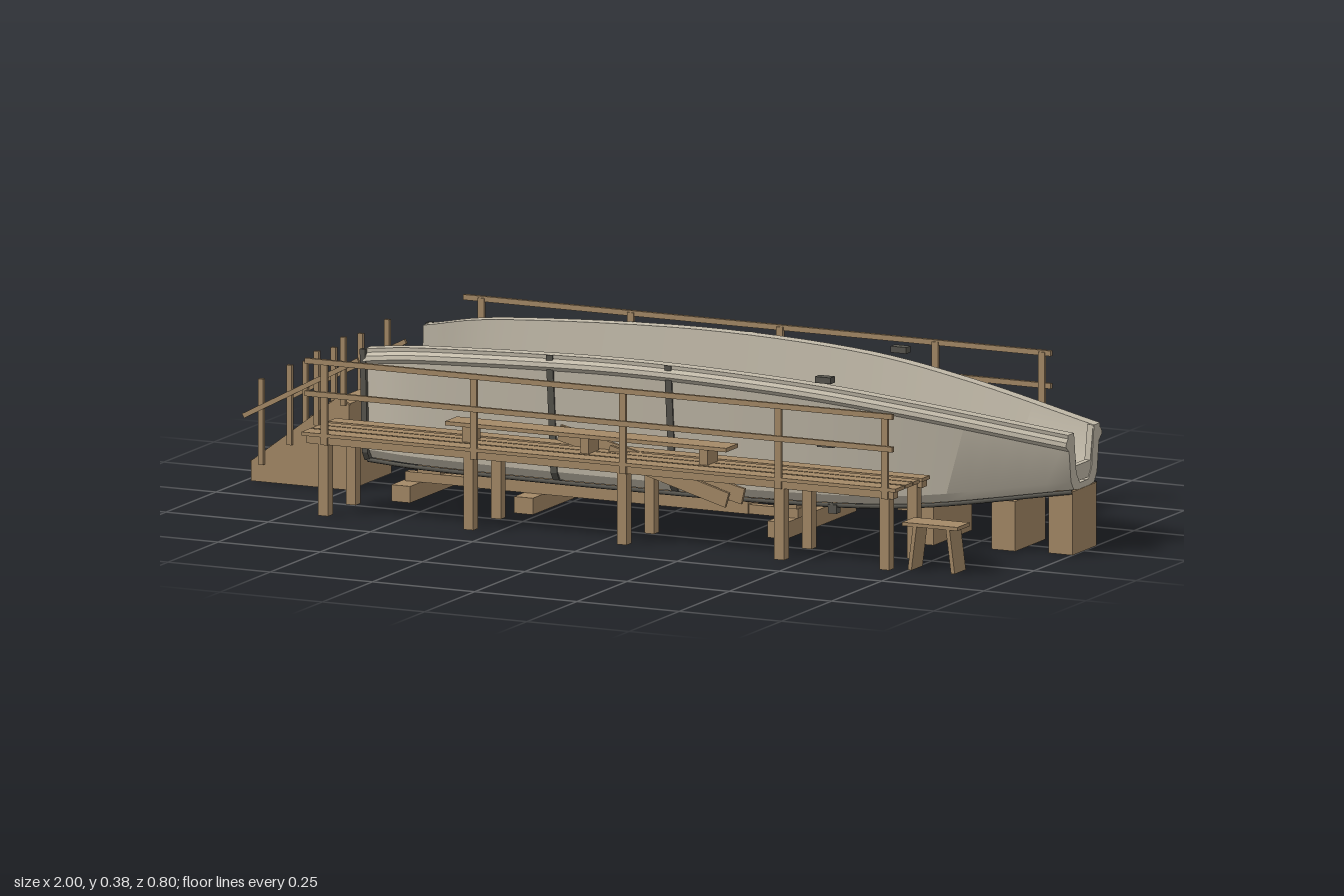
import * as THREE from 'three';
import { toCreasedNormals } from 'three/addons/utils/BufferGeometryUtils.js';

const mat = (color) => new THREE.MeshStandardMaterial({ color, side: THREE.DoubleSide });

export function createModel() {
  const root = new THREE.Group();
  const wood = mat(0xa58a67), shell = mat(0xc4bcab), pale = mat(0xd6d3c9), dark = mat(0x58564f);

  const add = (parent, name, geo, m) => {
    const mesh = new THREE.Mesh(geo, m);
    mesh.name = name;
    parent.add(mesh);
    return mesh;
  };
  const group = (name, parent = root) => {
    const g = new THREE.Group();
    g.name = name;
    parent.add(g);
    return g;
  };
  // box given by its limits on each axis
  const box = (parent, name, x0, x1, y0, y1, z0, z1, m = wood) => {
    const b = add(parent, name, new THREE.BoxGeometry(x1 - x0, y1 - y0, z1 - z0), m);
    b.position.set((x0 + x1) / 2, (y0 + y1) / 2, (z0 + z1) / 2);
    return b;
  };
  // bar between two points of the xy plane
  const bar = (parent, name, x0, y0, x1, y1, z, h, d, m = wood) => {
    const b = add(parent, name, new THREE.BoxGeometry(Math.hypot(x1 - x0, y1 - y0), h, d), m);
    b.position.set((x0 + x1) / 2, (y0 + y1) / 2, z);
    b.rotation.z = Math.atan2(y1 - y0, x1 - x0);
    return b;
  };
  // closed cross-sections joined along x, ends closed by pairing points across the ring
  const loft = (rings) => {
    const p = [], n = rings[0].length;
    const quad = (a, b, c, d) => [a, b, c, a, c, d].forEach((v) => p.push(...v));
    for (let i = 0; i + 1 < rings.length; i++)
      for (let j = 0; j < n; j++) {
        const k = (j + 1) % n;
        quad(rings[i][j], rings[i + 1][j], rings[i + 1][k], rings[i][k]);
      }
    for (let j = 0; j < n / 2 - 1; j++) {
      const a = rings[0], b = rings.at(-1);
      quad(a[j], a[j + 1], a[n - 2 - j], a[n - 1 - j]);
      quad(b[j], b[n - 1 - j], b[n - 2 - j], b[j + 1]);
    }
    const g = new THREE.BufferGeometry();
    g.setAttribute('position', new THREE.Float32BufferAttribute(p, 3));
    return toCreasedNormals(g, 0.5);
  };

  // --- Hull: sheer and chine curves sharing the same stations ---
  const hull = group('hull');
  const curve = (pts) => new THREE.CatmullRomCurve3(pts.map((q) => new THREE.Vector3(...q)), false, 'catmullrom');
  const sheer = curve([[-0.68, 0.333, 0.16], [-0.5, 0.355, 0.195], [-0.05, 0.372, 0.208],
    [0.35, 0.36, 0.197], [0.65, 0.327, 0.155], [1, 0.272, 0.08]]);
  const chine = curve([[-0.68, 0.085, 0.15], [-0.5, 0.083, 0.175], [-0.05, 0.083, 0.185],
    [0.35, 0.085, 0.175], [0.65, 0.096, 0.135], [1, 0.145, 0.065]]);
  const N = 32;
  const stations = Array.from({ length: N + 1 }, (_, i) => [sheer.getPoint(i / N), chine.getPoint(i / N)]);
  const section = (s, c, grow = 0) => {
    const half = (t, side) => [[s.y, s.z - t], [c.y + 0.02 + t * 0.5, c.z - t * 0.9],
      [c.y + t * 0.5, c.z - 0.014 - t * 0.9], [c.y - 0.004 + t * 0.5, 0.02]].map(([y, z]) => [s.x, y, z * side]);
    const full = (t) => [...half(t, -1), ...half(t, 1).reverse()];
    return [...full(-grow), ...full(grow ? 0 : 0.03).reverse()];
  };
  add(hull, 'hullShell', loft(stations.map(([s, c]) => section(s, c))), shell);

  // stern flange and outer straps follow the section
  const band = (name, x0, x1, grow, m) => {
    const near = (x) => {
      let t = 0;
      while (t < 1 && sheer.getPoint(t).x < x) t += 0.002;
      const s = sheer.getPoint(t), c = chine.getPoint(t);
      s.x = x;
      return section(s, c, grow);
    };
    add(hull, name, loft([near(x0), near(x1)]), m);
  };
  band('sternFlange', -0.688, -0.674, 0.01, dark);
  for (const x of [-0.205, 0.085]) band('strap', x - 0.008, x + 0.008, 0.004, dark);

  // bow plate with a tapered notch
  const bow = new THREE.Shape([[-0.06, 0.16], [0.06, 0.16], [0.065, 0.272], [0.049, 0.272], [0.035, 0.196],
    [-0.035, 0.196], [-0.049, 0.272], [-0.065, 0.272]].map((q) => new THREE.Vector2(...q)));
  const bowPlate = add(hull, 'bowPlate', new THREE.ExtrudeGeometry(bow, { depth: 0.014, bevelEnabled: false }), shell);
  bowPlate.rotation.y = Math.PI / 2;
  bowPlate.position.x = 0.984;

  // rub rail, chine pipe, clamps and inner planks on both sides
  const railGeo = loft(stations.map(([s]) => [[s.x, s.y - 0.04, s.z - 0.008], [s.x, s.y - 0.026, s.z + 0.01],
    [s.x, s.y - 0.016, s.z + 0.008], [s.x, s.y - 0.004, s.z - 0.006]]));
  const pipeGeo = new THREE.TubeGeometry(new THREE.CatmullRomCurve3(stations.map(([, c]) =>
    new THREE.Vector3(c.x, c.y - 0.004, c.z - 0.006))), 48, 0.005, 6);
  for (const side of [1, -1]) {
    const g = group(side > 0 ? 'frontFittings' : 'backFittings', hull);
    g.scale.z = side;
    add(g, 'rubRail', railGeo, shell);
    add(g, 'chinePipe', pipeGeo, dark);
    box(g, 'topClamp', 0.44, 0.478, 0.362, 0.376, 0.178, 0.2, dark);
    box(g, 'sideClamp', 0.44, 0.478, 0.217, 0.228, 0.172, 0.19, dark);
    box(g, 'bottomClamp', 0.455, 0.475, 0.065, 0.085, 0.145, 0.165, dark);
    box(g, 'innerPlank', -0.455, 0.355, 0.105, 0.125, 0.105, 0.16);
  }

  // --- Work platform inside the hull ---
  const platform = group('platform');
  box(platform, 'platformTop', -0.48, 0.38, 0.258, 0.27, -0.105, 0.105, pale);
  for (const x of [-0.395, -0.05, 0.295]) {
    add(platform, 'pin', new THREE.CylinderGeometry(0.002, 0.002, 0.035, 8), dark).position.set(x, 0.286, 0);
    add(platform, 'pinBase', new THREE.CylinderGeometry(0.009, 0.009, 0.005, 12), dark).position.set(x, 0.272, 0);
    add(platform, 'pinHead', new THREE.SphereGeometry(0.004, 10, 8), dark).position.set(x, 0.304, 0);
  }

  // --- Cradle below the hull ---
  const cradle = group('cradle');
  for (const x of [-0.585, -0.285, 0.335]) box(cradle, 'crossFoot', x - 0.023, x + 0.023, 0, 0.037, -0.175, 0.175);
  for (const x of [-0.54, 0.33]) box(cradle, 'crossBeam', x - 0.028, x + 0.028, 0.058, 0.082, -0.125, 0.125);
  for (const x of [-0.4, -0.1, 0.2]) box(cradle, 'crossBearer', x - 0.025, x + 0.025, 0.045, 0.08, -0.1, 0.1);
  for (const s of [-1, 1]) {
    const z = s * 0.112;
    box(cradle, 'longBeam', -0.455, 0.24, 0.037, 0.08, z - 0.014, z + 0.014);
    box(cradle, 'runner', -0.6, 0.36, 0.037, 0.058, z - 0.01, z + 0.01);
  }
  for (const [x, top, w] of [[0.65, 0.095, 0.095], [0.84, 0.112, 0.076], [0.972, 0.142, 0.06]])
    box(cradle, 'bowBlock', x - 0.029, x + 0.029, 0, top, -w, w);

  // --- Walkways on both sides ---
  for (const side of [1, -1]) {
    const w = group(side > 0 ? 'frontWalkway' : 'backWalkway');
    w.scale.z = side;
    for (const [z0, z1] of [[0.224, 0.264], [0.276, 0.306], [0.31, 0.346], [0.352, 0.396]])
      box(w, 'deckPlank', -0.72, 0.733, 0.177, 0.185, z0, z1);
    for (const z of [0.235, 0.378]) box(w, 'deckBeam', -0.71, 0.725, 0.16, 0.177, z - 0.012, z + 0.012);
    for (const x of [-0.67, -0.315, 0.06, 0.445]) {
      box(w, 'joist', x - 0.012, x + 0.012, 0.157, 0.176, 0.235, 0.385);
      for (const z of [0.239, 0.377]) box(w, 'walkwayLeg', x - 0.012, x + 0.012, 0, 0.17, z - 0.012, z + 0.012);
    }
    for (const z of [0.239, 0.377]) box(w, 'walkwayLeg', 0.69, 0.714, 0, 0.17, z - 0.012, z + 0.012);
    for (const x of [-0.665, -0.3, 0.065, 0.445, 0.705])
      box(w, 'railPost', x - 0.008, x + 0.008, 0.16, 0.348, 0.388, 0.396);
    for (const y of [0.346, 0.273]) box(w, 'handRail', -0.71, 0.727, y - 0.006, y + 0.006, 0.391, 0.4);
    box(w, 'benchTop', -0.395, 0.293, 0.219, 0.228, 0.283, 0.343);
    for (const x of [-0.345, -0.055, 0.235]) box(w, 'benchLeg', x - 0.01, x + 0.01, 0.157, 0.22, 0.287, 0.339);
  }

  // --- Loose boards leaning through the front walkway ---
  const boards = group('leaningBoards');
  bar(boards, 'longBoard', -0.15, 0.212, 0.3, 0.108, 0.27, 0.036, 0.008);
  bar(boards, 'shortBoard', -0.02, 0.182, 0.27, 0.1, 0.289, 0.034, 0.008);

  // --- Stool at the end of the front walkway ---
  const stool = group('stool');
  box(stool, 'stoolSeat', 0.735, 0.87, 0.098, 0.106, 0.305, 0.367);
  bar(stool, 'stoolLeg', 0.752, 0, 0.765, 0.1, 0.337, 0.009, 0.056);
  bar(stool, 'stoolLeg', 0.858, 0, 0.845, 0.1, 0.337, 0.009, 0.056);

  // --- Stairs at the stern ---
  const stairs = group('stairs');
  const edge = [-0.985, -0.937, -0.889, -0.841, -0.793, -0.745];
  for (let i = 0; i < 5; i++) {
    const top = 0.045 + i * 0.037;
    box(stairs, 'step', edge[i], edge[i + 1], 0, top - 0.006, -0.1, 0.1);
    box(stairs, 'tread', edge[i] - 0.004, edge[i + 1], top - 0.006, top, -0.1, 0.1);
  }
  const cheek = new THREE.Shape([[-0.985, 0], [-0.745, 0], [-0.745, 0.19], [-0.768, 0.21], [-0.985, 0.045]]
    .map((q) => new THREE.Vector2(...q)));
  const cheekGeo = new THREE.ExtrudeGeometry(cheek, { depth: 0.006, bevelEnabled: false });
  for (const s of [-1, 1]) {
    add(stairs, 'stairCheek', cheekGeo, wood).position.z = s * 0.103 - 0.003;
    [-0.957, -0.888, -0.822, -0.757].forEach((x, i) =>
      box(stairs, 'stairPost', x - 0.006, x + 0.006, 0.04 + i * 0.05, 0.232 + i * 0.037, s * 0.11 - 0.005, s * 0.11 + 0.005));
    bar(stairs, 'stairRail', -0.997, 0.147, -0.716, 0.296, s * 0.118, 0.011, 0.007);
  }
  return root;
}
